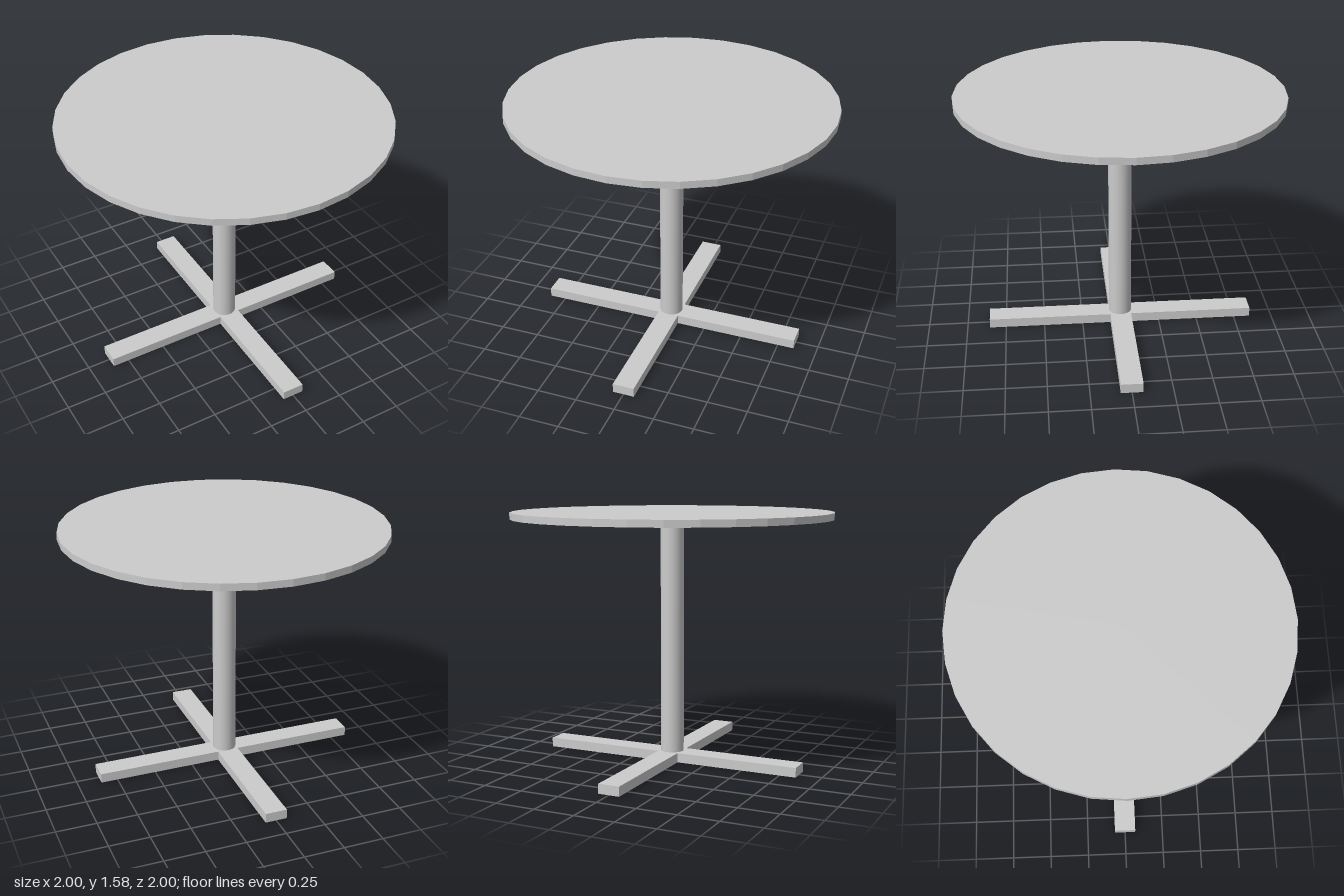
import * as THREE from 'three';

const TOP_Y = 1.58, TOP_THICK = 0.042;
const BASE_H = 0.06, REACH = 0.855, HALF_W = 0.068;

export function createModel() {
  const group = new THREE.Group();
  const smooth = new THREE.MeshStandardMaterial({ color: 0xcccccc });
  const faceted = new THREE.MeshStandardMaterial({ color: 0xcccccc, flatShading: true });

  const add = (name, geometry, material, y) => {
    const mesh = new THREE.Mesh(geometry, material);
    mesh.name = name;
    mesh.position.y = y;
    group.add(mesh);
  };

  // Round top with a faceted rim
  add('tableTop', new THREE.CylinderGeometry(1, 1, TOP_THICK, 32), faceted, TOP_Y - TOP_THICK / 2);

  // Central column between base and top
  const columnH = TOP_Y - TOP_THICK - BASE_H;
  add('column', new THREE.CylinderGeometry(0.073, 0.073, columnH, 32), smooth, BASE_H + columnH / 2);

  // Cross-shaped foot: one arm outline repeated by quarter turns
  const outline = [];
  for (let i = 0; i < 4; i++) {
    for (const [x, y] of [[REACH, -HALF_W], [REACH, HALF_W], [HALF_W, HALF_W]]) {
      outline.push(new THREE.Vector2(x, y).rotateAround(new THREE.Vector2(), i * Math.PI / 2));
    }
  }
  const foot = new THREE.ExtrudeGeometry(new THREE.Shape(outline), { depth: BASE_H, bevelEnabled: false });
  foot.rotateX(-Math.PI / 2);
  add('crossFoot', foot, faceted, 0);

  return group;
}
